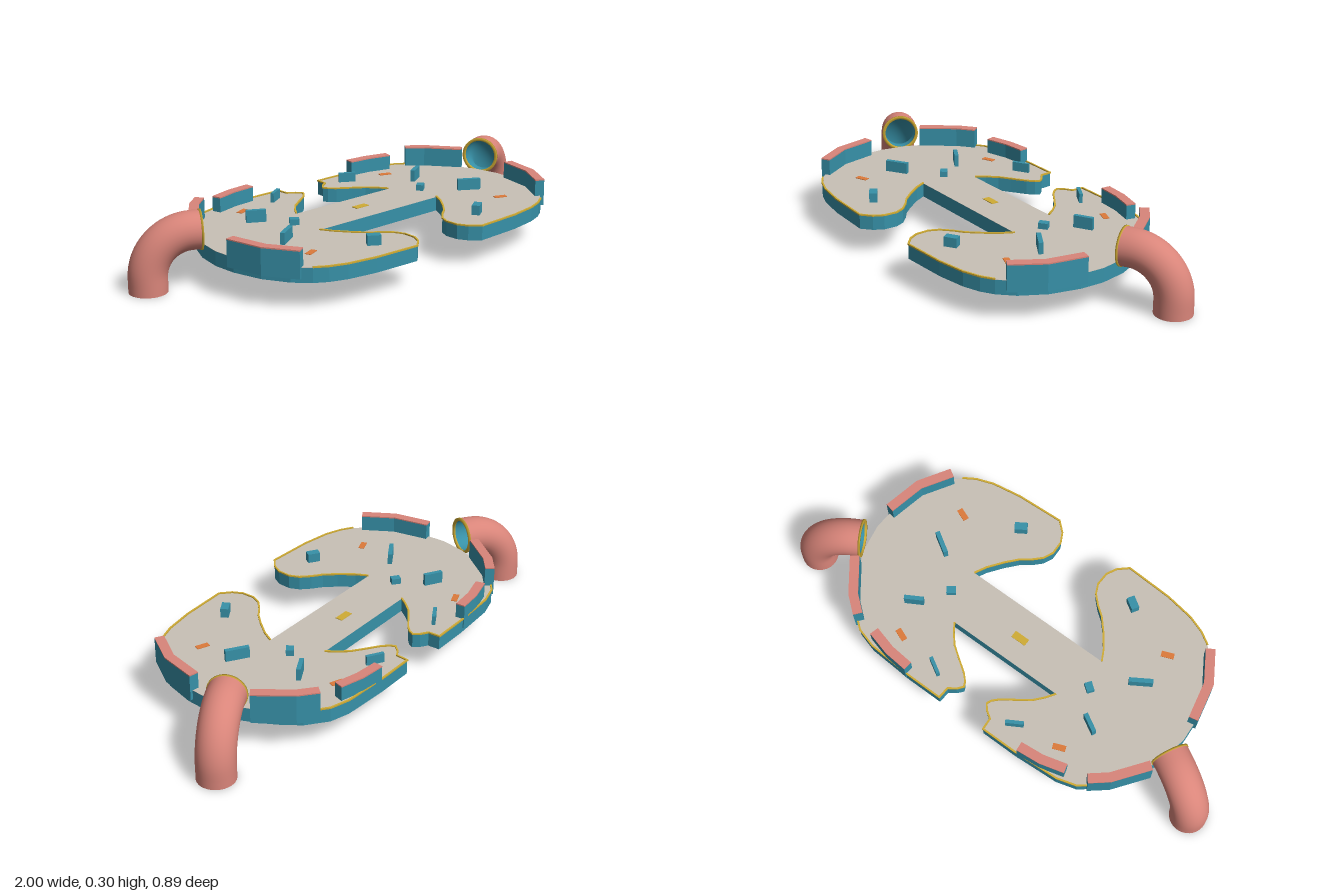
import * as THREE from 'three';

const mat = (name, color, side = THREE.FrontSide) => {
  const m = new THREE.MeshStandardMaterial({ color, side });
  m.name = name;
  return m;
};

export function createModel() {
  const teal = mat('teal', 0x3791a8, THREE.DoubleSide);
  const pink = mat('salmon pink', 0xd9857a);
  const stone = mat('stone floor', 0xc9c1b6);
  const gold = mat('gold', 0xd0ac35);
  const orange = mat('orange', 0xdd7a3a);

  const model = new THREE.Group();
  model.name = 'arenaPlatform';
  const FLOOR = 0.166, BASE = 0.108;

  const add = (name, geo, material, parent = model) => {
    const mesh = new THREE.Mesh(geo, material);
    mesh.name = name;
    parent.add(mesh);
    return mesh;
  };

  // Extrude a ground-plan polygon of [x, z] points from y0 up to y1
  const slab = (pts, y0, y1) => {
    const shape = new THREE.Shape(pts.map(([x, z]) => new THREE.Vector2(x, -z)));
    return new THREE.ExtrudeGeometry(shape, { depth: y1 - y0, bevelEnabled: false })
      .rotateX(-Math.PI / 2).translate(0, y0, 0);
  };

  // Widen an open [x, z] path into a mitred strip
  const strip = (path, width) => {
    const dir = (a, b) => new THREE.Vector2(b[0] - a[0], b[1] - a[1]).normalize();
    const left = [], right = [];
    path.forEach((p, i) => {
      const d0 = dir(path[Math.max(i - 1, 0)], path[Math.max(i, 1)]);
      const last = path.length - 1;
      const d1 = dir(path[Math.min(i, last - 1)], path[Math.min(i + 1, last)]);
      const t = d0.clone().add(d1).normalize();
      const w = width / 2 / Math.max(0.5, t.dot(d0));
      left.push([p[0] - t.y * w, p[1] + t.x * w]);
      right.unshift([p[0] + t.y * w, p[1] - t.x * w]);
    });
    return [...left, ...right];
  };
  const flip = (pts, s) => pts.map(([x, z]) => [x * s, z]);

  // Half outline, from the back of the bridge round to its front
  const backLobe = [[0.25, -0.163], [0.225, -0.2], [0.19, -0.24], [0.145, -0.272], [0.09, -0.31],
    [0.065, -0.335], [0.056, -0.355], [0.075, -0.378], [0.104, -0.397], [0.107, -0.446],
    [0.26, -0.446], [0.45, -0.435], [0.53, -0.412], [0.61, -0.35]];
  const outerSide = [[0.66, -0.28], [0.70, -0.21], [0.735, -0.13], [0.755, -0.02], [0.75, 0.08],
    [0.72, 0.2], [0.665, 0.3]];
  const frontLobe = [[0.61, 0.357], [0.56, 0.388], [0.49, 0.413], [0.37, 0.432], [0.175, 0.441],
    [0.135, 0.405], [0.114, 0.365], [0.112, 0.31], [0.13, 0.27], [0.165, 0.235], [0.205, 0.205],
    [0.245, 0.16], [0.29, 0.1], [0.315, 0.052]];
  const half = [...backLobe, ...outerSide, ...frontLobe];
  const outline = [...half, ...flip(half, -1).reverse()];

  // Platform body and its stone floor
  add('platformBody', slab(outline, BASE, FLOOR - 0.001), teal);
  add('floor', slab(outline, FLOOR - 0.001, FLOOR), stone);
  add('centreMarker', new THREE.BoxGeometry(0.065, 0.003, 0.03), gold)
    .position.set(0, FLOOR + 0.001, -0.062);

  // Low boundary walls: path and top height
  const walls = [
    { name: 'frontSideWall', top: 0.235, path: [[0.743, 0.053], [0.711, 0.205], [0.636, 0.327]] },
    { name: 'backSideWall', top: 0.248, path: [[0.556, -0.382], [0.622, -0.328], [0.72, -0.197]] },
    { name: 'backWall', top: 0.228, path: [[0.27, -0.431], [0.368, -0.422], [0.465, -0.396]] },
  ];

  // Floor obstacles: x, z, length, width, top height, direction in x and z
  const blocks = [
    [0.195, -0.36, 0.072, 0.014, 0.205, 12, 7],
    [0.43, -0.19, 0.078, 0.017, 0.215, 14, -8],
    [0.34, -0.067, 0.038, 0.03, 0.19, 8, -6],
    [0.49, 0.067, 0.095, 0.018, 0.212, 16, 10],
    [0.277, 0.315, 0.052, 0.032, 0.205, 11, -7],
  ];
  const markers = [[0.387, -0.33], [0.508, 0.228]];

  for (const s of [1, -1]) {
    const side = new THREE.Group();
    side.name = s > 0 ? 'leftHalf' : 'rightHalf';
    model.add(side);

    // Gold edging on the open rims
    for (const [name, path] of [['backTrim', backLobe], ['frontTrim', frontLobe]])
      add(name, slab(strip(flip(path, s), 0.007), FLOOR - 0.001, FLOOR + 0.005), gold, side);

    // Walls with coloured caps
    for (const { name, top, path } of walls) {
      const plan = strip(flip(path, s), 0.038);
      add(name, slab(plan, FLOOR - 0.04, top - 0.005), teal, side);
      add(name + 'Cap', slab(plan, top - 0.005, top), pink, side);
    }

    for (const [x, z, len, wid, top, dx, dz] of blocks) {
      const b = add('obstacle', new THREE.BoxGeometry(len, top - FLOOR, wid), teal, side);
      b.position.set(s * x, (top + FLOOR) / 2, z);
      b.rotation.y = -Math.atan2(dz, s * dx);
    }
    for (const [x, z] of markers) {
      const m = add('floorMarker', new THREE.BoxGeometry(0.052, 0.003, 0.024), orange, side);
      m.position.set(s * x, FLOOR + 0.001, z);
      m.rotation.y = -Math.atan2(4, s * 10);
    }

    // Hollow bent pipe: rises, curves over and opens onto the floor
    const pipe = new THREE.Group();
    pipe.name = 'entryPipe';
    pipe.position.set(s * 0.926, 0, -0.21);
    pipe.rotation.y = Math.atan2(-0.475, -s * 0.88);
    side.add(pipe);
    const R = 0.17, rise = 0.056, reach = 0.2, r = 0.074, r2 = 0.067;
    const pts = [new THREE.Vector3(0, 0, 0), new THREE.Vector3(0, rise / 2, 0)];
    for (let i = 0; i <= 12; i++) {
      const a = (i / 12) * Math.PI / 2;
      pts.push(new THREE.Vector3(R * (1 - Math.cos(a)), rise + R * Math.sin(a), 0));
    }
    pts.push(new THREE.Vector3(reach, rise + R, 0));
    const curve = new THREE.CatmullRomCurve3(pts);
    add('pipeShell', new THREE.TubeGeometry(curve, 28, r, 32), pink, pipe);
    add('pipeLining', new THREE.TubeGeometry(curve, 28, r2, 32), teal, pipe);
    add('pipeFoot', new THREE.RingGeometry(r2, r, 32).rotateX(Math.PI / 2), pink, pipe);

    // Gold collar round the mouth
    const collar = [[r2 - 0.002, -0.004], [r + 0.003, -0.004], [r + 0.003, 0.004],
      [r2 - 0.002, 0.004], [r2 - 0.002, -0.004]].map(([x, y]) => new THREE.Vector2(x, y));
    const ring = add('pipeCollar', new THREE.LatheGeometry(collar, 32), gold, pipe);
    ring.rotation.z = -Math.PI / 2;
    ring.position.set(reach, rise + R, 0);
  }
  return model;
}
